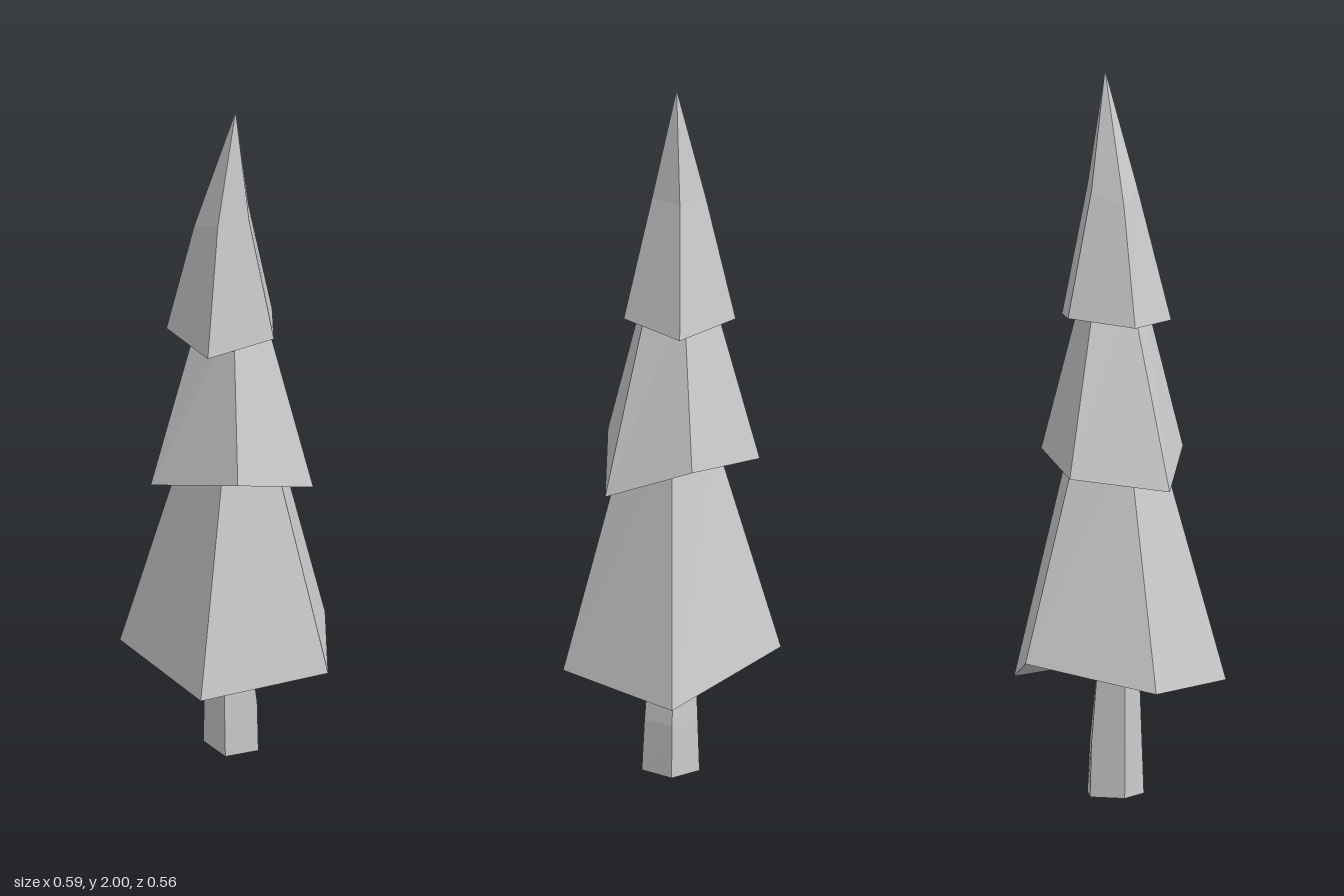
import * as THREE from 'three';

// Rings hold five [x, y, z] corners: back, left side, front, front, right side.
const point = (x, y, z) => Array.from({ length: 5 }, () => [x, y, z]);
const level = (y, corners) => corners.map(([x, z]) => [x, y, z]);

// Skin a stack of five-cornered rings with flat facets
function loft(name, rings, material) {
  const positions = [];
  for (let r = 0; r < rings.length - 1; r++) {
    const a = rings[r], b = rings[r + 1];
    for (let i = 0; i < 5; i++) {
      const j = (i + 1) % 5;
      positions.push(...a[i], ...b[i], ...a[j], ...b[i], ...b[j], ...a[j]);
    }
  }
  const geometry = new THREE.BufferGeometry();
  geometry.setAttribute('position', new THREE.Float32BufferAttribute(positions, 3));
  geometry.computeVertexNormals();
  const mesh = new THREE.Mesh(geometry, material);
  mesh.name = name;
  return mesh;
}

export function createModel() {
  const tree = new THREE.Group();
  tree.name = 'pineTree';
  const material = new THREE.MeshStandardMaterial({ color: 0xcccccc, flatShading: true });

  // Necks where one part runs up into the hollow underside of the next
  const trunkTop = level(0.42, [[-0.015, -0.03], [0.03, 0.01], [0.015, 0.08], [-0.05, 0.08], [-0.075, 0.01]]);
  const lowerNeck = level(1.0, [[0, -0.09], [0.117, -0.01], [0.07, 0.132], [-0.063, 0.132], [-0.113, -0.01]]);
  const middleNeck = level(1.4, [[-0.043, -0.07], [0.057, -0.025], [0.066, 0.075], [-0.03, 0.112], [-0.09, 0.018]]);

  // Slightly bent trunk with a closed base
  tree.add(loft('trunk', [
    point(0, 0, 0.03),
    level(0, [[0, -0.05], [0.075, 0.005], [0.045, 0.1], [-0.05, 0.1], [-0.08, 0.005]]),
    level(0.15, [[0, -0.045], [0.066, 0.007], [0.044, 0.093], [-0.05, 0.093], [-0.079, 0.007]]),
    trunkTop,
  ], material));

  // Branch tiers: underside, ragged rim, sloping sides
  tree.add(loft('lowerBranches', [
    trunkTop,
    [[0, 0.395, -0.283], [0.295, 0.295, -0.068], [0.183, 0.325, 0.28], [-0.183, 0.31, 0.28], [-0.295, 0.325, -0.068]],
    lowerNeck,
  ], material));

  tree.add(loft('middleBranches', [
    lowerNeck,
    [[-0.083, 0.905, -0.195], [0.165, 0.945, -0.083], [0.182, 0.85, 0.16], [-0.06, 0.945, 0.232], [-0.24, 0.865, 0.028]],
    middleNeck,
  ], material));

  // Top tier narrows at a bend and ends in a point
  tree.add(loft('topBranches', [
    middleNeck,
    [[-0.02, 1.335, -0.147], [0.132, 1.315, -0.037], [0.075, 1.335, 0.142], [-0.115, 1.31, 0.142], [-0.172, 1.315, -0.037]],
    [[-0.02, 1.68, -0.062], [0.055, 1.68, -0.012], [0.027, 1.68, 0.077], [-0.06, 1.68, 0.067], [-0.1, 1.64, -0.015]],
    point(0.01, 2, 0.012),
  ], material));

  return tree;
}
